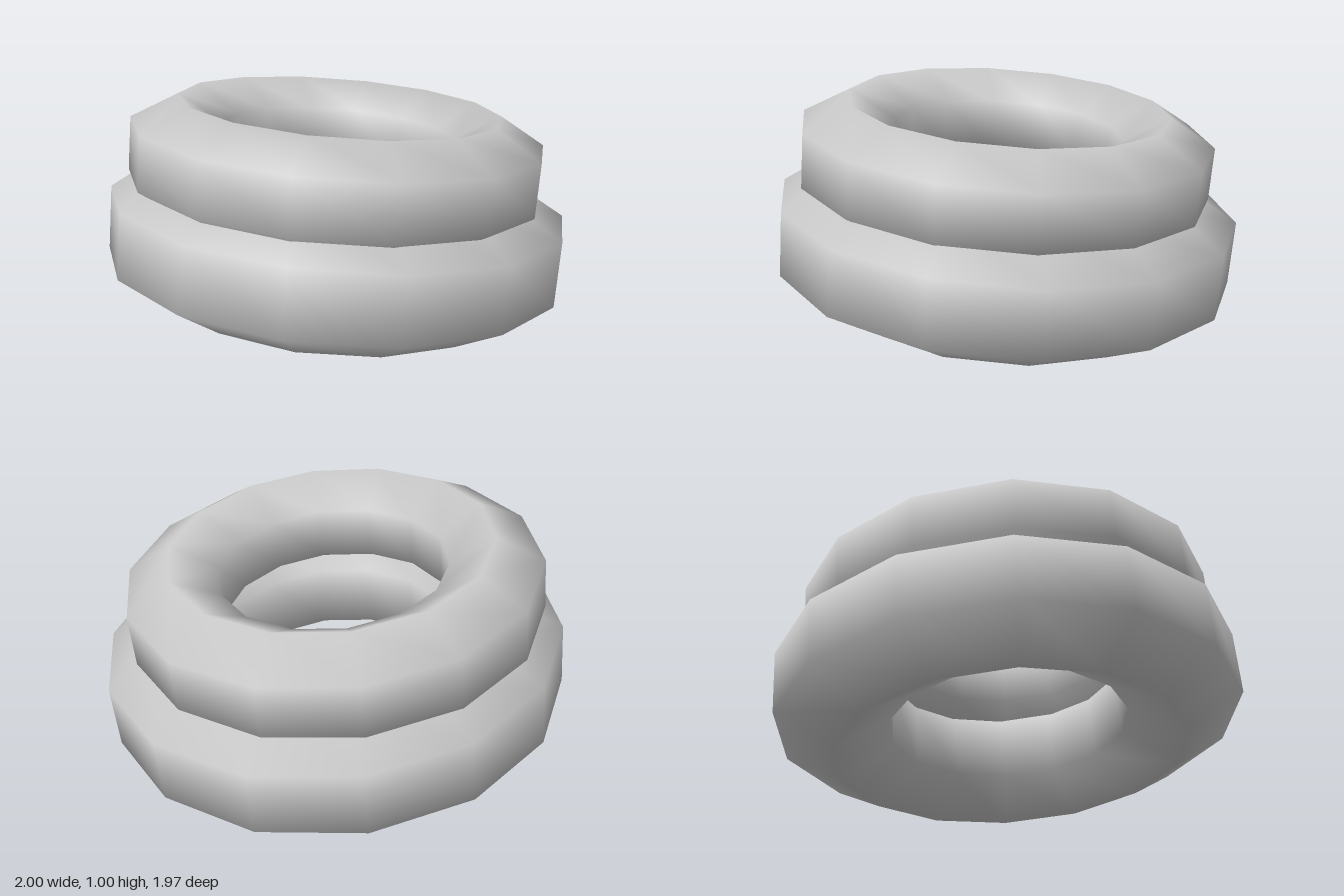
import * as THREE from 'three';
import { mergeVertices } from 'three/addons/utils/BufferGeometryUtils.js';

const material = new THREE.MeshStandardMaterial({ color: 0xcccccc });
const TILT = THREE.MathUtils.degToRad(6);

// Fourteen-sided ring with a hexagonal section whose flats face in and out
function makeRing(name, radius, tube, y) {
  const profile = [];
  for (let i = 0; i <= 6; i++) {
    const a = -Math.PI / 6 + (i * Math.PI) / 3;
    profile.push(new THREE.Vector2(radius + tube * Math.cos(a), tube * Math.sin(a)));
  }
  let geometry = new THREE.LatheGeometry(profile, 14, Math.PI / 2);

  // Weld the seams so the shading runs smoothly all round
  geometry.deleteAttribute('uv');
  geometry.deleteAttribute('normal');
  geometry = mergeVertices(geometry, 1e-4);
  geometry.computeVertexNormals();

  const ring = new THREE.Mesh(geometry, material);
  ring.name = name;
  ring.position.y = y;
  ring.rotation.x = -TILT; // front edge raised
  return ring;
}

export function createModel() {
  const group = new THREE.Group();
  group.name = 'stackedRings';
  group.add(makeRing('lowerRing', 0.7575, 0.28, 0.356));
  group.add(makeRing('upperRing', 0.697, 0.23, 0.702));
  return group;
}
